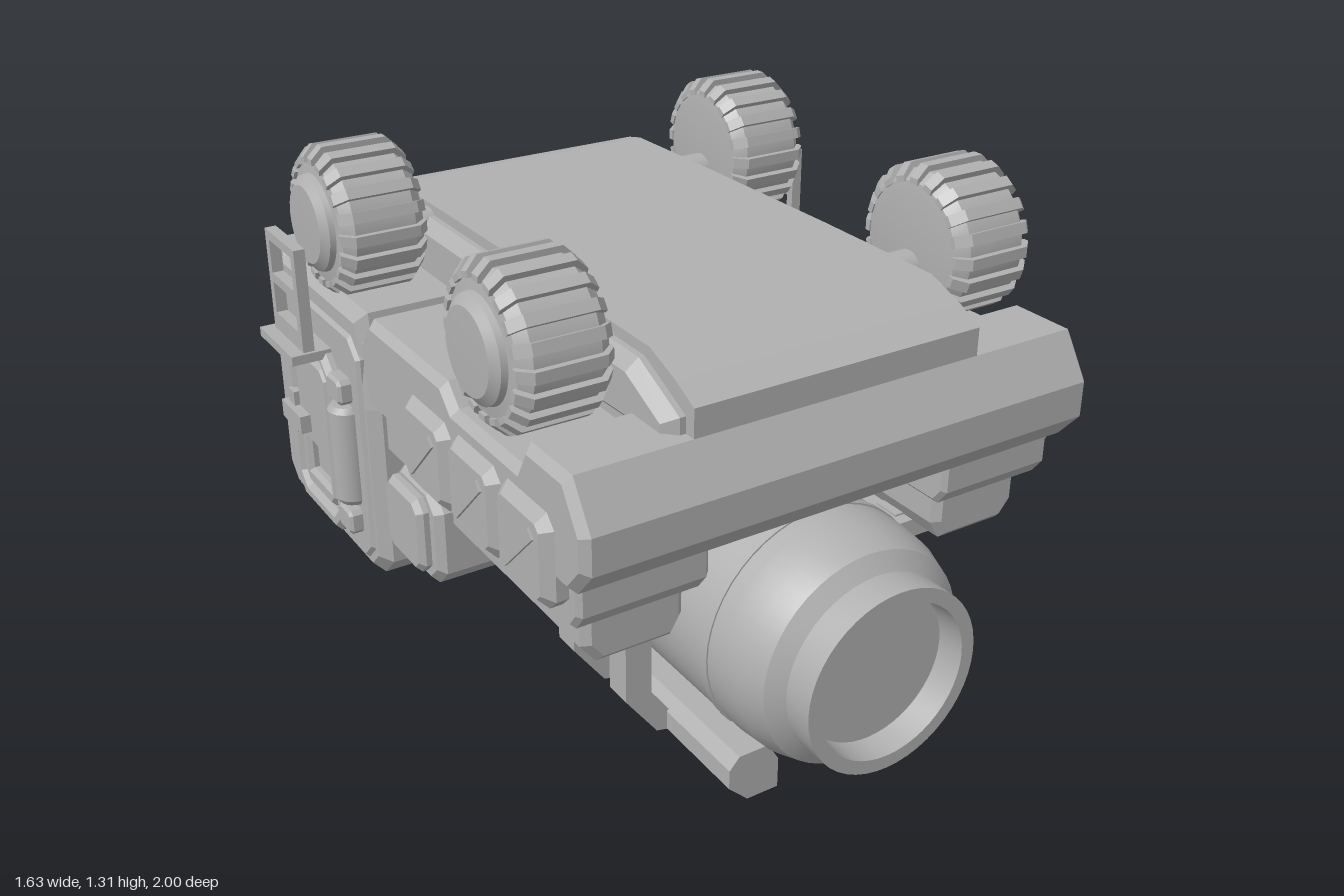
import * as THREE from 'three';
import { toCreasedNormals } from 'three/addons/utils/BufferGeometryUtils.js';

const grey = new THREE.MeshStandardMaterial({ color: 0xb0b0b0 });
grey.name = 'plain grey';

function add(parent, name, geo) {
  const m = new THREE.Mesh(geo, grey);
  m.name = name;
  parent.add(m);
  return m;
}

// Box from its limits
function box(x0, x1, y0, y1, z0, z1) {
  return new THREE.BoxGeometry(x1 - x0, y1 - y0, z1 - z0)
    .translate((x0 + x1) / 2, (y0 + y1) / 2, (z0 + z1) / 2);
}

// Profile [x, y] extruded from z0 to z1, with chamfer b and optional holes
function alongZ(pts, z0, z1, b = 0, holes = []) {
  const toV = (l) => l.map((p) => new THREE.Vector2(...p));
  const shape = new THREE.Shape(toV(pts));
  holes.forEach((h) => shape.holes.push(new THREE.Path(toV(h))));
  return new THREE.ExtrudeGeometry(shape, {
    depth: z1 - z0 - 2 * b, bevelEnabled: b > 0, bevelSize: b, bevelThickness: b,
    bevelOffset: -b, bevelSegments: 1,
  }).translate(0, 0, z0 + b);
}

// Profile [z, y] extruded from x0 to x1
function alongX(pts, x0, x1, b = 0, holes = []) {
  return alongZ(pts, -x1, -x0, b, holes).rotateY(-Math.PI / 2);
}

// Rectangle with cut corners
function oct(a0, a1, b0, b1, c) {
  return [[a0 + c, b0], [a1 - c, b0], [a1, b0 + c], [a1, b1 - c],
    [a1 - c, b1], [a0 + c, b1], [a0, b1 - c], [a0, b0 + c]];
}
const rect = (a0, a1, b0, b1) => [[a0, b0], [a1, b0], [a1, b1], [a0, b1]];

function lathe(pts, n = 48) {
  return toCreasedNormals(new THREE.LatheGeometry(pts.map((p) => new THREE.Vector2(...p)), n), 0.5);
}

function makeWheel(parent, z) {
  const wheel = new THREE.Group();
  wheel.name = 'wheel';
  wheel.position.set(0.58, 1.115, z);
  parent.add(wheel);
  add(wheel, 'tyre', lathe([[0, -0.115], [0.12, -0.115], [0.155, -0.11], [0.18, -0.08], [0.18, 0.08],
    [0.155, 0.105], [0.125, 0.11], [0.122, 0.125], [0.1, 0.142], [0, 0.145]], 36).rotateZ(-Math.PI / 2));
  for (let i = 0; i < 20; i++) {
    // Tread bar, cut back towards the shoulders
    const bar = alongZ([[-0.115, 0.15], [0.115, 0.15], [0.115, 0.165], [0.085, 0.194], [-0.085, 0.194], [-0.115, 0.165]],
      -0.014, 0.014);
    add(wheel, 'tread', bar.rotateX((i * Math.PI) / 10));
  }
  add(parent, 'axle', new THREE.CylinderGeometry(0.05, 0.05, 0.14, 20).rotateZ(Math.PI / 2).translate(0.41, 1.05, z));
}

function makeSide() {
  const g = new THREE.Group();
  g.name = 'side';
  makeWheel(g, 0.425);
  makeWheel(g, -0.48);

  // Outer hull with wheel recesses
  add(g, 'sideHull', alongX([[0.78, 0.7], [0.84, 0.77], [0.84, 0.86], [0.77, 0.97], [0.6, 0.97], [0.56, 0.9], [0.26, 0.9],
    [0.21, 0.95], [-0.2, 0.95], [-0.25, 0.89], [-0.7, 0.89], [-0.76, 0.96], [-0.84, 0.96], [-0.87, 0.93],
    [-0.87, 0.7]], 0.3, 0.69, 0.02));
  // Arch strips hugging the recesses
  add(g, 'archStrip', alongX([[0.72, 0.96], [0.6, 0.96], [0.55, 0.9], [0.26, 0.9], [0.2, 0.96], [-0.2, 0.96], [-0.26, 0.9],
    [-0.69, 0.9], [-0.78, 1.0], [-0.9, 0.95], [-0.9, 0.9], [-0.72, 0.85], [0.72, 0.85]], 0.42, 0.47));
  add(g, 'sill', alongX([[0.76, 0.72], [0.76, 0.62], [0.73, 0.58], [-0.25, 0.58], [-0.25, 0.72]], 0.33, 0.66, 0.012));
  add(g, 'underBox', alongZ([[0.36, 0.62], [0.36, 0.5], [0.39, 0.45], [0.58, 0.45], [0.62, 0.5], [0.62, 0.62]],
    0.06, 0.71, 0.02));

  // Three square side panels with a diagonal bar
  for (const z of [0.61, 0.375, 0.135]) {
    add(g, 'squarePanel', alongX(oct(z - 0.115, z + 0.115, 0.625, 0.855, 0.03), 0.62, 0.715, 0.025));
    add(g, 'diagonalBar', box(0.71, 0.722, -0.014, 0.014, -0.09, 0.09)
      .rotateX(-Math.PI / 4).translate(0, 0.74, z));
  }
  add(g, 'sideBox', alongX(oct(-0.2, 0.06, 0.3, 0.57, 0.05), 0.42, 0.655, 0.02));
  add(g, 'sideBoxLid', alongX(oct(-0.19, 0.015, 0.33, 0.54, 0.03), 0.64, 0.685, 0.015));

  // Rear pod and its door
  add(g, 'rearPod', alongX([[-0.2, 0.26], [-0.26, 0.2], [-0.8, 0.2], [-0.865, 0.25], [-0.865, 0.92], [-0.83, 0.95],
    [-0.24, 0.95], [-0.2, 0.7]], 0.33, 0.7, 0.03));
  add(g, 'podPlate', alongX(oct(-0.83, -0.24, 0.24, 0.88, 0.05), 0.68, 0.71, 0.01));
  add(g, 'doorFrame', alongX(oct(-0.69, -0.36, 0.27, 0.79, 0.05), 0.69, 0.74, 0.015,
    [oct(-0.64, -0.4, 0.32, 0.75, 0.03)]));
  add(g, 'door', alongX(oct(-0.63, -0.41, 0.33, 0.74, 0.03), 0.69, 0.736, 0.012, [rect(-0.585, -0.445, 0.38, 0.47)]));
  add(g, 'handleBase', box(0.72, 0.75, 0.48, 0.6, -0.66, -0.62));
  add(g, 'handle', box(0.735, 0.765, 0.51, 0.56, -0.68, -0.545));
  add(g, 'canister', lathe([[0, 0.4], [0.04, 0.4], [0.05, 0.415], [0.05, 0.665], [0.04, 0.68], [0, 0.68]], 20)
    .translate(0.71, 0, -0.335));
  for (const y of [0.35, 0.725]) add(g, 'canisterMount', alongX(oct(-0.375, -0.29, y - 0.035, y + 0.035, 0.012), 0.68, 0.745, 0.008));

  // Rear face: framed recess and corner lamp
  add(g, 'rearFrame', alongZ(oct(0.35, 0.68, 0.23, 0.7, 0.03), -0.885, -0.84, 0.01, [oct(0.4, 0.63, 0.28, 0.65, 0.02)]));
  add(g, 'rearPanel', alongZ(oct(0.42, 0.61, 0.3, 0.63, 0.02), -0.875, -0.84, 0.008));
  add(g, 'lampFrame', alongZ(oct(0.47, 0.66, 0.77, 0.89, 0.02), -0.895, -0.84, 0.01, [rect(0.5, 0.63, 0.8, 0.86)]));
  add(g, 'lamp', box(0.53, 0.6, 0.81, 0.85, -0.885, -0.85));

  // Faceted blister under the pod
  add(g, 'bottomBlister', alongX([[-0.35, 0.21], [-0.4, 0.165], [-0.64, 0.135], [-0.69, 0.16], [-0.71, 0.21]], 0.43, 0.64, 0.02));
  // Detail on the front of the pod
  add(g, 'podFrontBlock', alongZ(oct(0.38, 0.65, 0.3, 0.5, 0.03), -0.22, -0.14, 0.02));

  // Step and upright frame
  add(g, 'step', box(0.69, 0.815, 0.775, 0.8, -0.64, -0.41));
  add(g, 'uprightFrame', alongX(rect(-0.62, -0.42, 0.79, 1.075), 0.75, 0.78, 0,
    [rect(-0.595, -0.445, 0.96, 1.05), rect(-0.595, -0.445, 0.85, 0.935)]));

  // Skid and its two brackets
  add(g, 'skid', alongZ([[0.317, 0.13], [0.29, 0.16], [0.21, 0.16], [0.18, 0.11], [0.18, 0.03], [0.265, 0.03], [0.317, 0.08]],
    0, 0.83));
  for (const z of [0.53, 0.285]) {
    add(g, 'bracket', alongZ([[0.43, 0.46], [0.43, 0.2], [0.345, 0.085], [0.3, 0.075], [0.3, 0.12], [0.36, 0.2], [0.36, 0.46]],
      z - 0.037, z + 0.037));
  }
  add(g, 'bracketFlange', box(0.32, 0.48, 0.405, 0.455, 0.22, 0.6));
  return g;
}

export function createModel() {
  const model = new THREE.Group();
  model.name = 'vehicle';

  // Central hull, with the front beam
  add(model, 'centreHull', alongX([[0.78, 0.7], [0.84, 0.77], [0.84, 0.86], [0.77, 0.97], [-0.84, 0.96], [-0.87, 0.93],
    [-0.87, 0.7]], -0.4, 0.4));
  add(model, 'tankCradle', box(-0.28, 0.28, 0.59, 0.71, -0.6, 0.55));

  // Curved cover plate, with a narrower-edged strip to each side
  add(model, 'coverPlate', alongX([[0.77, 0.93], [0.77, 1.04], [0.7, 1.075], [0.6, 1.112], [0.2, 1.115], [-0.4, 1.112],
    [-0.68, 1.108], [-0.74, 1.095], [-0.965, 0.96], [-0.965, 0.89], [-0.9, 0.87]], -0.385, 0.385));
  add(model, 'coverEdge', alongX([[0.74, 0.93], [0.74, 1.01], [0.58, 1.085], [-0.7, 1.085], [-0.95, 0.945], [-0.95, 0.9],
    [-0.9, 0.87]], -0.43, 0.43, 0.03));
  add(model, 'rearLip', box(-0.45, 0.45, 0.9, 0.955, -0.965, -0.85));

  // Rear grille
  for (let i = 0; i < 5; i++) {
    const y = 0.885 - i * 0.03;
    add(model, 'grilleSlat', box(-0.38, 0.38, y - 0.017, y, -0.945 + i * 0.012, -0.85));
  }
  add(model, 'grilleSill', box(-0.42, 0.42, 0.7, 0.74, -0.895, -0.85));

  // Tank: domed rear, open collar in front
  const dome = [];
  for (let i = 0; i <= 10; i++) {
    const a = (i / 10) * Math.PI / 2;
    dome.push([0.302 * Math.sin(a), -0.8 - 0.195 * Math.cos(a)]);
  }
  add(model, 'tank', lathe([...dome, [0.302, 0.76], [0.295, 0.83], [0.275, 0.89], [0.235, 0.92], [0.235, 1.0],
    [0.2, 1.0], [0.195, 0.93], [0, 0.93]]).rotateX(Math.PI / 2).translate(0, 0.357, 0));
  add(model, 'tankBand', new THREE.CylinderGeometry(0.306, 0.306, 0.025, 48).rotateX(Math.PI / 2).translate(0, 0.357, 0.7));
  add(model, 'tankEndCap', new THREE.CylinderGeometry(0.1, 0.1, 0.05, 32).rotateX(Math.PI / 2).translate(0, 0.357, -0.975));

  // Valve under the tank
  add(model, 'valveKnob', lathe([[0, 0], [0.04, 0.006], [0.065, 0.03], [0.065, 0.05], [0.04, 0.08], [0, 0.08]], 20)
    .translate(0, 0, -0.78));
  add(model, 'valveBase', alongZ(oct(-0.11, 0.11, 0.045, 0.11, 0.015), -0.84, -0.72));

  const left = makeSide();
  const right = makeSide();
  left.name = 'leftSide';
  right.name = 'rightSide';
  right.scale.x = -1;
  model.add(left, right);
  return model;
}
